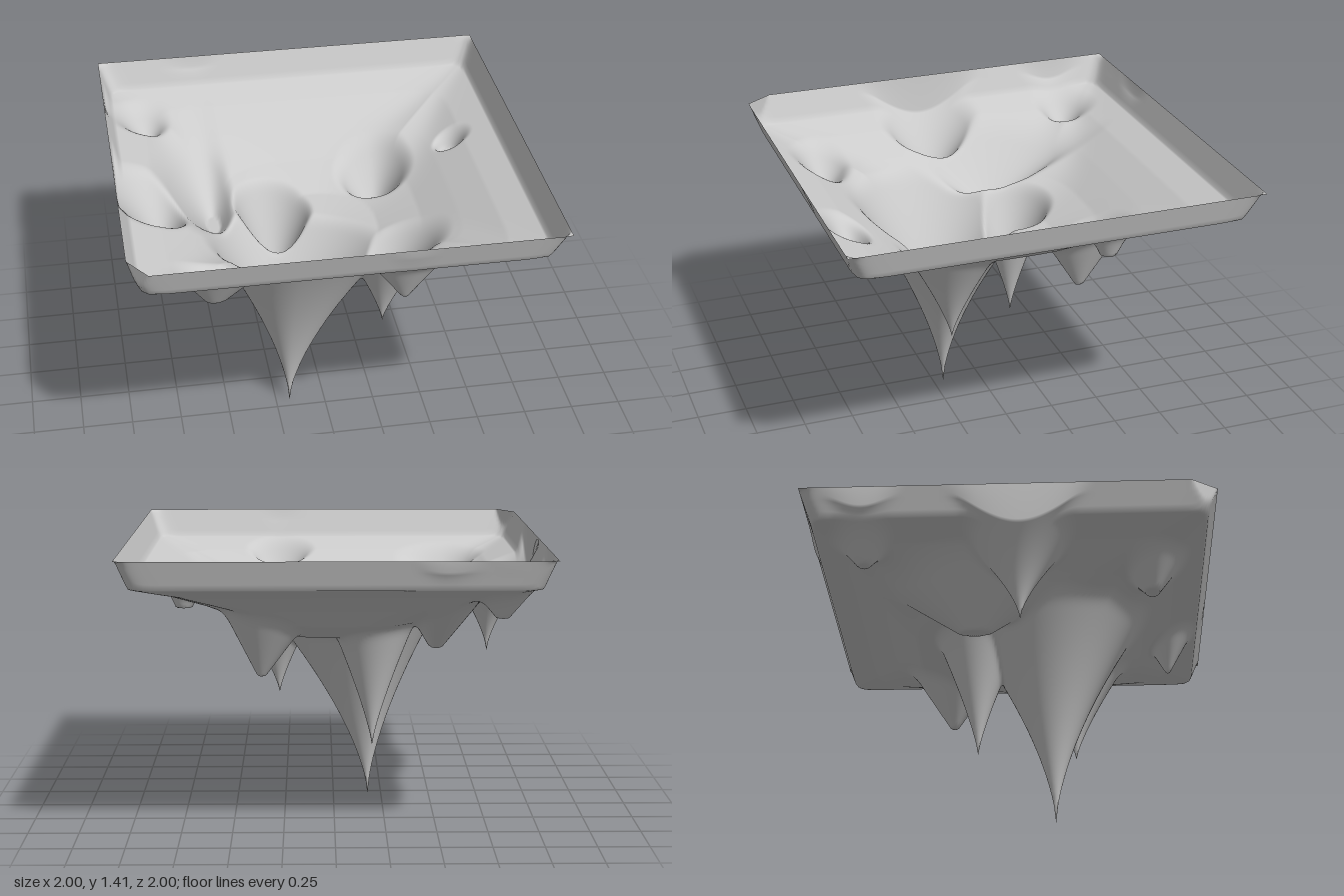
import * as THREE from 'three';

const RIM = 1.41;

// shallow square bowl: [distance from centre, height]
const bowl = [[0, 0.9], [0.3, 0.93], [0.5, 1.02], [0.65, 1.12], [0.8, 1.21], [0.95, 1.27], [1, RIM]];

function bowlHeight(r) {
  const i = Math.max(1, bowl.findIndex(([d]) => r <= d));
  const [d0, y0] = bowl[i - 1], [d1, y1] = bowl[i];
  return y0 + (y1 - y0) * (r - d0) / (d1 - d0);
}

// a hanging spike: height = tip + rise * (distance beyond the blunt end) ^ power
// px, nx, pz, nz widen it towards +x, -x, +z, -z
function spike(cx, cz, tip, rise, power, blunt = 0, { px = 1, nx = 1, pz = 1, nz = 1 } = {}) {
  return (x, z) => {
    const dx = (x - cx) / (x > cx ? px : nx), dz = (z - cz) / (z > cz ? pz : nz);
    return tip + rise * Math.max(0, Math.hypot(dx, dz) - blunt) ** power;
  };
}

const spikes = [
  // large central spikes
  spike(-0.18, 0.2, 0, 1.78, 0.66, 0, { px: 1.25, nx: 0.85, pz: 0.9, nz: 0.95 }),
  spike(-0.19, -0.18, 0.36, 2.2, 0.8),
  spike(0.28, 0.3, 0.53, 1.6, 0.8, 0, { px: 1.1, nx: 0.95 }),
  spike(0.36, -0.34, 0.75, 1.6, 1, 0.02, { px: 0.8, nx: 1.2 }),
  // small outer spikes
  spike(-0.78, 0.05, 0.8, 1.25, 0.7, 0, { pz: 1.2, nz: 1.2 }),
  spike(0.28, 0.79, 1.02, 1.35, 1, 0.015, { pz: 0.7, nz: 0.7 }),
  spike(0.73, -0.33, 1.09, 2.2, 1, 0.04),
  spike(-0.5, -0.18, 0.87, 1.35, 1, 0.04, { px: 0.8, pz: 2, nz: 2 }),
  spike(-0.6, 0.69, 1.03, 1.3, 1, 0.04, { px: 1.5, pz: 0.8 }),
  spike(-0.78, -0.7, 1.1, 1.2, 1, 0.03),
];

function smoothMin(a, b, k) {
  const h = Math.max(k - Math.abs(a - b), 0) / k;
  return Math.min(a, b) - h * h * k / 4;
}

function heightAt(x, z) {
  const ax = Math.abs(x), az = Math.abs(z), edge = Math.max(ax, az);
  if (edge > 0.999) return RIM;
  // plan outline turns from rounded in the middle to square at the rim
  const p = 2.5 + 40 * edge ** 6;
  const r = edge < 1e-6 ? 0 : edge * ((ax / edge) ** p + (az / edge) ** p) ** (1 / p);
  let y = bowlHeight(Math.min(r, 1));
  for (const spikeHeight of spikes) y = smoothMin(y, spikeHeight(x, z), 0.05);
  return THREE.MathUtils.clamp(y, 0, RIM);
}

export function createModel() {
  const geometry = new THREE.PlaneGeometry(2, 2, 200, 200);
  geometry.rotateX(-Math.PI / 2);
  const pos = geometry.attributes.position;
  for (let i = 0; i < pos.count; i++) {
    let x = pos.getX(i), z = pos.getZ(i);
    const y = heightAt(x, z);
    // chamfer the front corner on the -x side
    const over = (x + 1) / 0.09 + (1 - z) / 0.13;
    if (over < 1) {
      const push = (1 - over) / (1 / 0.09 + 1 / 0.13);
      x += push;
      z -= push;
    }
    pos.setXYZ(i, x, y, z);
  }
  geometry.computeVertexNormals();

  const rock = new THREE.Mesh(geometry, new THREE.MeshStandardMaterial({ color: 0xcccccc, side: THREE.DoubleSide }));
  rock.name = 'stalactiteCeiling';
  const group = new THREE.Group();
  group.name = 'caveCeilingTile';
  group.add(rock);
  return group;
}
